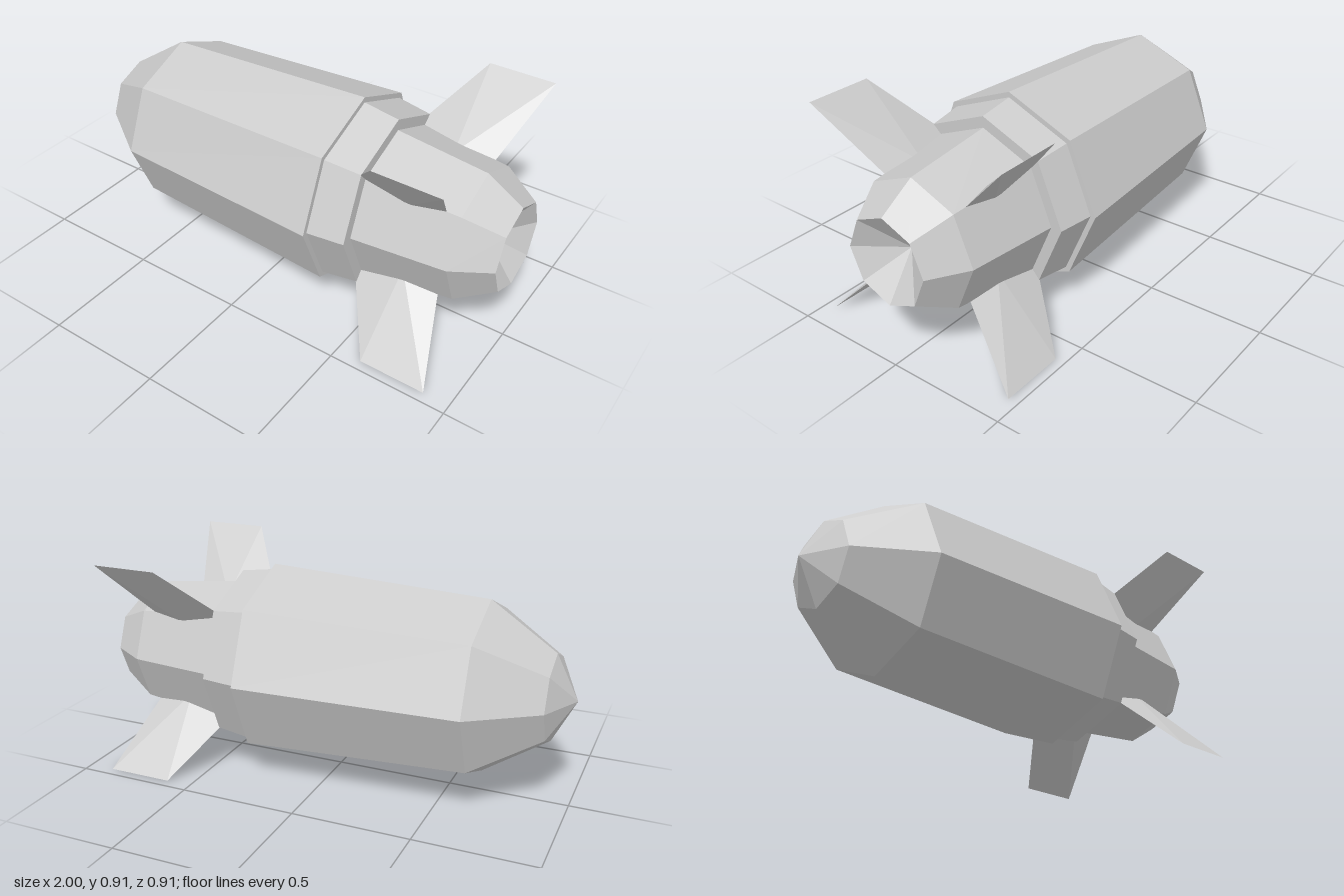
import * as THREE from 'three';

const SIDES = 8;
const AXIS_Y = 0.457;

const material = new THREE.MeshStandardMaterial({ color: 0xcccccc, flatShading: true });

function flatMesh(name, geometry) {
  const flat = geometry.toNonIndexed();
  flat.computeVertexNormals();
  const mesh = new THREE.Mesh(flat, material);
  mesh.name = name;
  return mesh;
}

// Octagonal section turned around the long axis; profile is [x, radius]
function hullSection(name, profile) {
  const points = profile.map(([x, r]) => new THREE.Vector2(r, x));
  const geometry = new THREE.LatheGeometry(points, SIDES);
  geometry.rotateZ(-Math.PI / 2);
  return flatMesh(name, geometry);
}

// Swept fin: diamond root inside the hull, knife-edge tip
function finGeometry() {
  const root = 0.25, tip = 0.646, t = 0.029;
  const corners = [
    0.39, root, 0,
    0.63, root, t,
    0.78, root, 0,
    0.63, root, -t,
    0.61, tip, 0,
    0.89, tip, 0,
  ];
  const geometry = new THREE.BufferGeometry();
  geometry.setAttribute('position', new THREE.Float32BufferAttribute(corners, 3));
  geometry.setIndex([
    0, 1, 4, 1, 5, 4, 1, 2, 5, // one side
    0, 4, 3, 3, 4, 5, 3, 5, 2, // other side
    0, 2, 1, 0, 3, 2,          // root
  ]);
  return geometry;
}

export function createModel() {
  const model = new THREE.Group();
  model.name = 'finnedShell';

  const body = new THREE.Group();
  body.name = 'body';
  body.position.y = AXIS_Y;
  model.add(body);

  // Pointed nose and main casing, closed by the rear step
  body.add(hullSection('casing', [
    [-1, 0], [-0.907, 0.185], [-0.635, 0.37], [0.305, 0.415], [0.305, 0.3],
  ]));

  // Collar behind the casing
  body.add(hullSection('collar', [
    [0.305, 0.392], [0.46, 0.37], [0.46, 0.25],
  ]));

  // Tail with a hollow cone in its end
  body.add(hullSection('tail', [
    [0.46, 0.322], [0.848, 0.278], [1, 0.184], [0.87, 0],
  ]));

  // Four fins on the diagonals
  for (let i = 0; i < 4; i++) {
    const fin = flatMesh('fin', finGeometry());
    fin.rotation.x = Math.PI / 4 + (i * Math.PI) / 2;
    body.add(fin);
  }

  return model;
}
